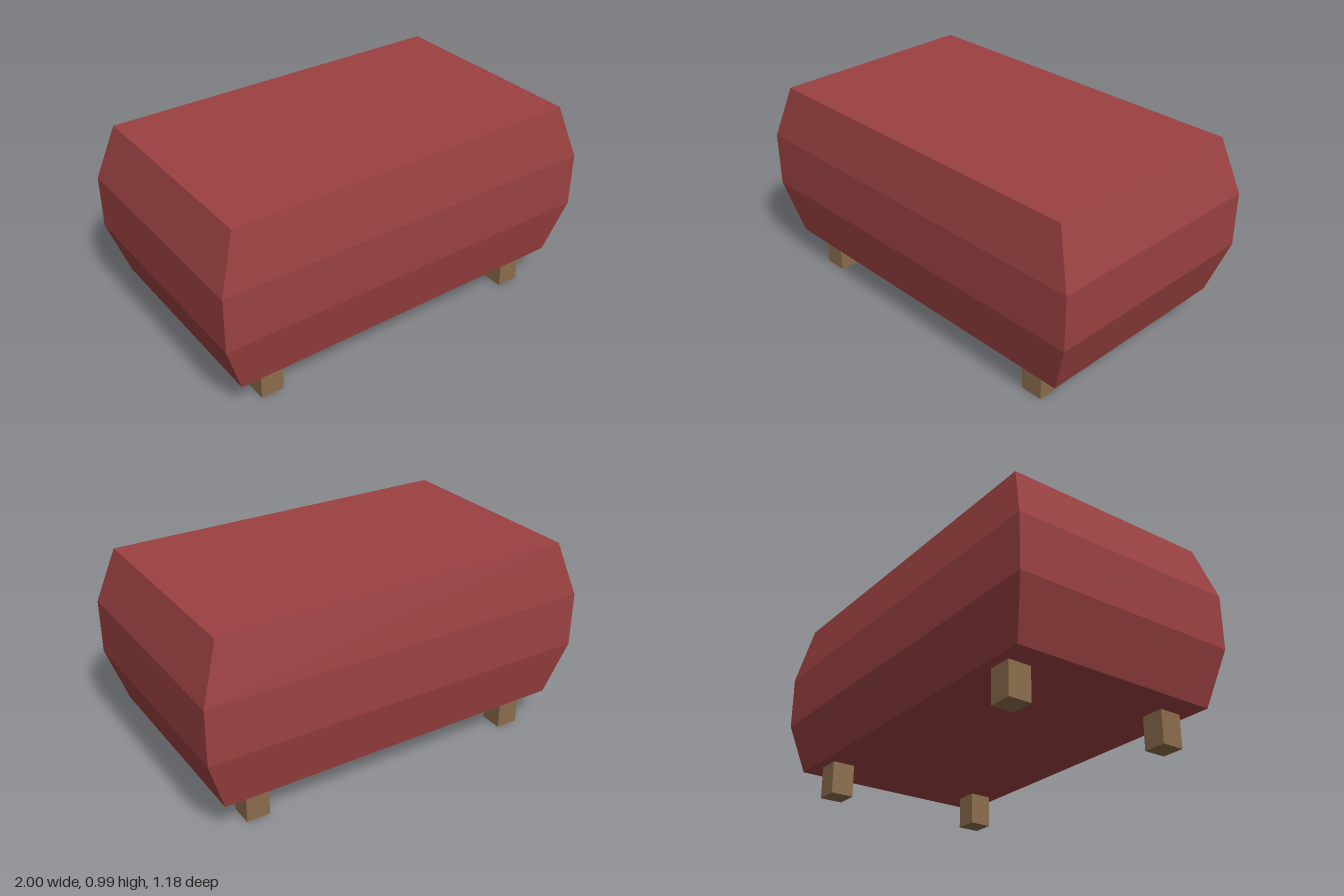
import * as THREE from 'three';

const mat = (name, color) => {
  const m = new THREE.MeshStandardMaterial({ color, flatShading: true });
  m.name = name;
  return m;
};

export function createModel() {
  const red = mat('red upholstery', 0x9b4141);
  const wood = mat('brown wood', 0x8b6d4c);
  const group = new THREE.Group();
  group.name = 'ottoman';

  // Cushion: a box in three bands, tapered towards its top and bottom
  const height = 0.82, bottom = 0.165;
  const geo = new THREE.BoxGeometry(2, height, 1.176, 1, 3, 1);
  const p = geo.attributes.position;
  for (let i = 0; i < p.count; i++) {
    if (Math.abs(p.getY(i)) > height * 0.4) {
      p.setX(i, p.getX(i) * 0.909);
      p.setZ(i, p.getZ(i) * 0.909);
    }
  }
  geo.computeVertexNormals();
  const cushion = new THREE.Mesh(geo, red);
  cushion.name = 'cushion';
  cushion.position.y = bottom + height / 2;
  group.add(cushion);

  // Four square legs
  const legGeo = new THREE.BoxGeometry(0.116, bottom, 0.116);
  for (const [zName, z] of [['front', 1], ['back', -1]]) {
    for (const [xName, x] of [['Left', 1], ['Right', -1]]) {
      const leg = new THREE.Mesh(legGeo, wood);
      leg.name = `${zName}${xName}Leg`;
      leg.position.set(x * 0.727, bottom / 2, z * 0.428);
      group.add(leg);
    }
  }
  return group;
}
